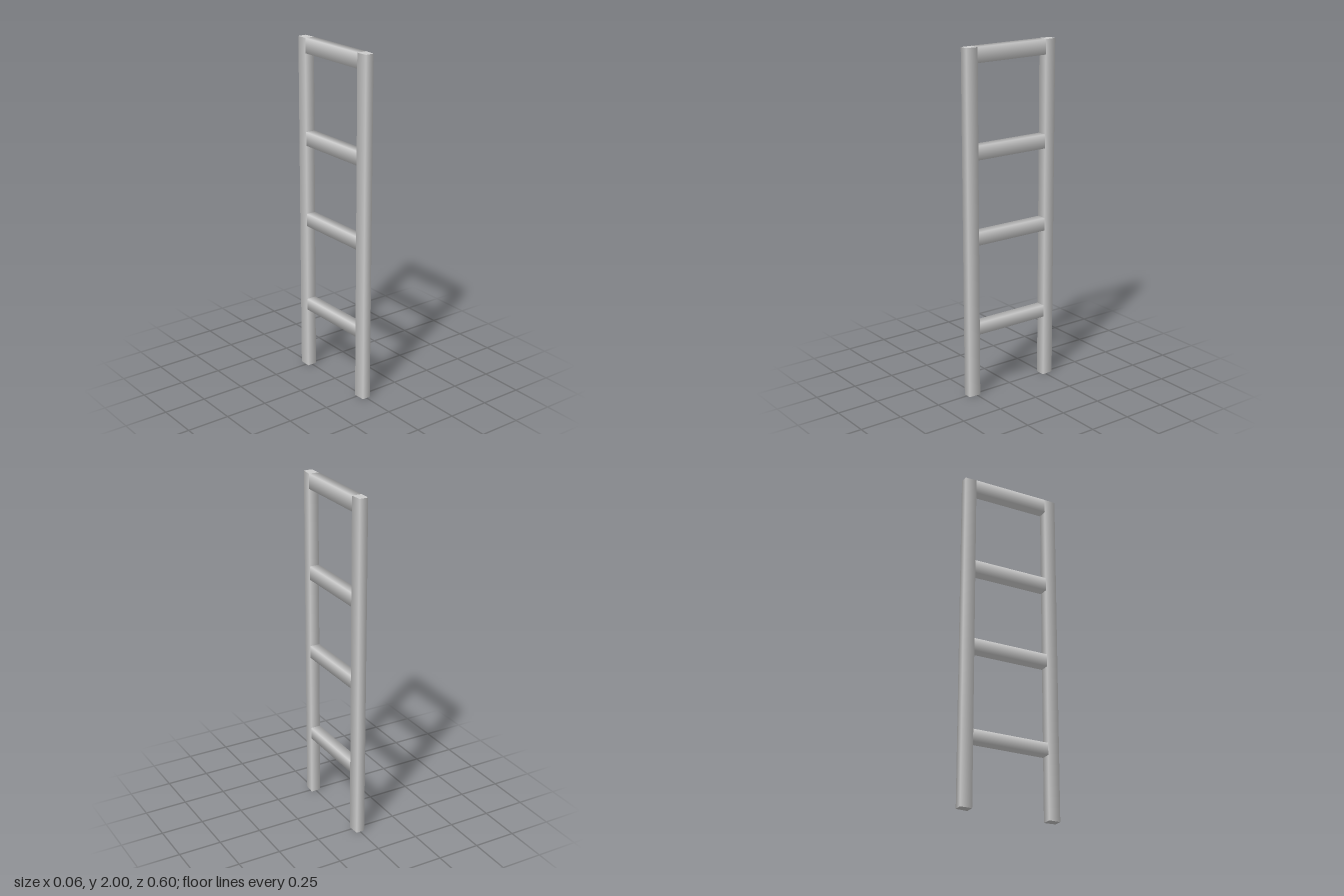
import * as THREE from 'three';

const material = new THREE.MeshStandardMaterial({ color: 0xcccccc });

// Four-sided bar along y with soft shading across its long edges
function bar(width, length, depth, open) {
  const g = new THREE.CylinderGeometry(Math.SQRT1_2, Math.SQRT1_2, 1, 4, 1, open, Math.PI / 4);
  return g.scale(width, length, depth);
}

export function createModel() {
  const ladder = new THREE.Group();
  ladder.name = 'ladder';
  const add = (name, geometry, y, z) => {
    const mesh = new THREE.Mesh(geometry, material);
    mesh.name = name;
    mesh.position.set(0, y, z);
    ladder.add(mesh);
  };

  // Side rails, slightly narrower on their outer faces
  for (const side of [1, -1]) {
    const rail = bar(0.058, 2, 0.07, false);
    const p = rail.attributes.position;
    for (let i = 0; i < p.count; i++) {
      if (p.getZ(i) * side > 0.01) p.setX(i, p.getX(i) * 0.86 - 0.0015);
    }
    add(side > 0 ? 'frontRail' : 'backRail', rail, 1, side * 0.265);
  }

  // Rungs between the rails: bottom and top heights
  const rungs = [[0.37, 0.44], [0.9, 0.975], [1.385, 1.465], [1.915, 2]];
  rungs.forEach(([low, high], i) => {
    const rung = bar(0.058, 0.46, high - low, true).rotateX(Math.PI / 2);
    add(i === 3 ? 'topBar' : `rung${i + 1}`, rung, (low + high) / 2, 0);
  });

  return ladder;
}
